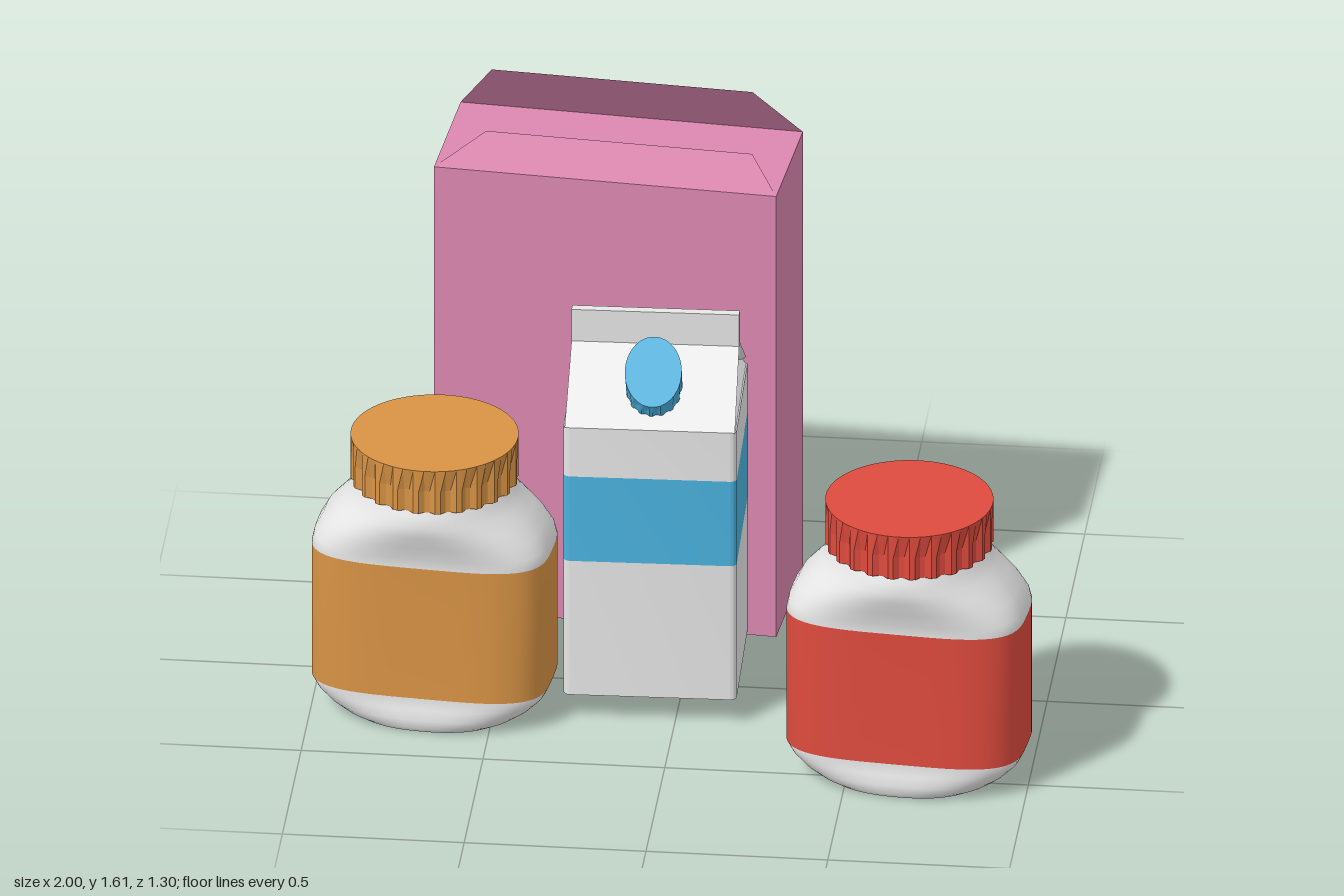
import * as THREE from 'three';
import { toCreasedNormals } from 'three/addons/utils/BufferGeometryUtils.js';

const mat = (name, color, extra = {}) => new THREE.MeshStandardMaterial({ name, color, ...extra });

function add(parent, name, geometry, material) {
  const mesh = new THREE.Mesh(geometry, material);
  mesh.name = name;
  parent.add(mesh);
  return mesh;
}

// flat faces, each a fan of corner points
function faces(polygons) {
  const p = [];
  for (const poly of polygons) {
    for (let i = 1; i < poly.length - 1; i++) p.push(...poly[0], ...poly[i], ...poly[i + 1]);
  }
  const g = new THREE.BufferGeometry();
  g.setAttribute('position', new THREE.Float32BufferAttribute(p, 3));
  g.computeVertexNormals();
  return g;
}

// cylinder whose side is grooved, with a full round top rim
function ribbedCap(radius, height, segments) {
  const g = new THREE.CylinderGeometry(radius, radius, height, segments, 2);
  const p = g.attributes.position;
  for (let i = 0; i < p.count; i++) {
    const a = Math.atan2(p.getZ(i), p.getX(i));
    const k = (Math.round(a / (2 * Math.PI) * segments) + segments) % 4;
    const onTop = p.getY(i) > height * 0.49;
    const s = onTop || k < 2 ? 1 : 0.95;
    p.setX(i, p.getX(i) * s);
    p.setZ(i, p.getZ(i) * s);
  }
  return g.translate(0, height / 2, 0);
}

// jar sections: height, half width, half depth, squareness, material above
const JAR = [
  [0, 0, 0, 2, 0], [0, 0.225, 0.195, 2.4, 0], [0, 0.225, 0.195, 2.4, 0], [0.015, 0.255, 0.208, 2.5, 0],
  [0.04, 0.288, 0.211, 2.8, 0], [0.07, 0.316, 0.204, 3.2, 0], [0.1, 0.33, 0.195, 3.7, 1],
  [0.5, 0.33, 0.195, 3.7, 0], [0.53, 0.324, 0.199, 3.4, 0], [0.57, 0.302, 0.211, 2.8, 0],
  [0.61, 0.268, 0.226, 2.3, 0], [0.64, 0.243, 0.231, 2, 0], [0.67, 0.222, 0.222, 2, 0], [0.7, 0.21, 0.21, 2, 0],
];

function jarBody() {
  const N = 64, p = [], index = [];
  const g = new THREE.BufferGeometry();
  for (const [y, w, d, n] of JAR) {
    for (let i = 0; i < N; i++) {
      const t = i / N * 2 * Math.PI, c = Math.cos(t), s = Math.sin(t);
      p.push(w * Math.sign(c) * Math.abs(c) ** (2 / n), y, d * Math.sign(s) * Math.abs(s) ** (2 / n));
    }
  }
  for (let j = 0; j < JAR.length - 1; j++) {
    g.addGroup(index.length, N * 6, JAR[j][4]);
    for (let i = 0; i < N; i++) {
      const a = j * N + i, c = j * N + (i + 1) % N;
      index.push(a, a + N, c, c, a + N, c + N);
    }
  }
  g.setAttribute('position', new THREE.Float32BufferAttribute(p, 3));
  g.setIndex(index);
  g.computeVertexNormals();
  return g;
}

function makeJar(name, white, colour, x, z, turn) {
  const jar = new THREE.Group();
  jar.name = name;
  jar.position.set(x, 0, z);
  jar.rotation.y = turn;
  add(jar, 'jarBody', jarBody(), [white, colour]);
  const lid = ribbedCap(0.23, 0.132, 96).toNonIndexed();
  lid.computeVertexNormals();
  add(jar, 'jarLid', lid, colour).position.y = 0.688;
  return jar;
}

// upright rounded block between two heights
function block(w, d, y0, y1) {
  const r = 0.018, x = w / 2 - r, z = d / 2 - r, s = new THREE.Shape();
  s.absarc(x, z, r, 0, Math.PI / 2);
  s.absarc(-x, z, r, Math.PI / 2, Math.PI);
  s.absarc(-x, -z, r, Math.PI, Math.PI * 1.5);
  s.absarc(x, -z, r, Math.PI * 1.5, Math.PI * 2);
  const g = new THREE.ExtrudeGeometry(s, { depth: y1 - y0, bevelEnabled: false, curveSegments: 4 });
  return toCreasedNormals(g.rotateX(-Math.PI / 2).translate(0, y0, 0), 0.6);
}

function makeCarton(white, blue) {
  const carton = new THREE.Group();
  carton.name = 'milkCarton';
  carton.position.set(-0.075, 0, 0.015);
  carton.rotation.y = 0.03;
  const w = 0.475, d = 0.445;
  add(carton, 'cartonLowerBody', block(w, d, 0.078, 0.49), white);
  add(carton, 'cartonBand', block(w, d, 0.49, 0.75), blue);
  add(carton, 'cartonUpperBody', block(w, d, 0.75, 0.9), white);

  // gable roof with tucked-in ends
  const x = w / 2 - 0.004, z = d / 2, e = 0.9, rx = 0.23, ry = 1.06, rz = 0.012;
  const roof = [
    [[-x, e, z], [x, e, z], [rx, ry, rz], [-rx, ry, rz]],
    [[x, e, -z], [-x, e, -z], [-rx, ry, -rz], [rx, ry, -rz]],
  ];
  for (const s of [1, -1]) {
    const tuck = [s * 0.15, 1.0, 0];
    const ends = [
      [[s * x, e, z], [s * x, e, -z], tuck],
      [[s * x, e, z], tuck, [s * rx, ry, rz]],
      [[s * x, e, -z], [s * rx, ry, -rz], tuck],
    ];
    roof.push(...ends.map((f) => (s > 0 ? f : f.reverse())));
  }
  add(carton, 'cartonRoof', faces(roof), white);
  add(carton, 'cartonTopSeal', new THREE.BoxGeometry(rx * 2, 0.1, 0.026).translate(0, 1.106, 0), white);

  // screw cap and its neck, slanted on the front slope
  const slant = new THREE.Matrix4().makeBasis(
    new THREE.Vector3(0.078, 0, 0), new THREE.Vector3(0, 0.054, 0.03), new THREE.Vector3(0, -0.082, 0.0515),
  ).setPosition(0.005, 0.994, 0.13);
  const parts = [
    ['cartonCap', ribbedCap(1, 1, 64), blue],
    ['cartonNeck', new THREE.CylinderGeometry(0.82, 0.82, 0.9, 32).translate(0, -0.4, 0), white],
  ];
  for (const [name, geometry, material] of parts) {
    const g = geometry.toNonIndexed().applyMatrix4(slant);
    g.computeVertexNormals();
    add(carton, name, g, material);
  }
  return carton;
}

function makeCerealBox(pink) {
  const box = new THREE.Group();
  box.name = 'cerealBox';
  box.position.set(-0.222, 0, -0.415);
  box.rotation.y = -0.084;
  const w = 0.953, d = 0.392, top = 1.422, x = w / 2, z = d / 2;
  add(box, 'boxBody', new THREE.BoxGeometry(w, top - 0.065, d).translate(0, (top + 0.065) / 2, 0), pink);
  add(box, 'backFlap', faces([[[-x, top, -z], [x, top, -z], [0.363, 1.605, -0.055], [-0.363, 1.605, -0.055]]]), pink);
  add(box, 'frontFlap', faces([[[-x, top, z], [x, top, z], [0.37, 1.437, -0.012], [-0.37, 1.437, -0.012]]]), pink);
  return box;
}

export function createModel() {
  const white = mat('white', 0xececec, { side: THREE.DoubleSide });
  const pink = mat('pink', 0xdd88b0, { side: THREE.DoubleSide });
  const blue = mat('blue', 0x4ab3e0);
  const red = mat('red', 0xdf4b3e);
  const orange = mat('orange', 0xd89345);

  const model = new THREE.Group();
  model.name = 'breakfastGroceries';
  model.add(
    makeCerealBox(pink),
    makeCarton(white, blue),
    makeJar('orangeJar', white, orange, -0.668, 0.16, -0.09),
    makeJar('redJar', white, red, 0.664, 0.415, -0.09),
  );
  return model;
}
